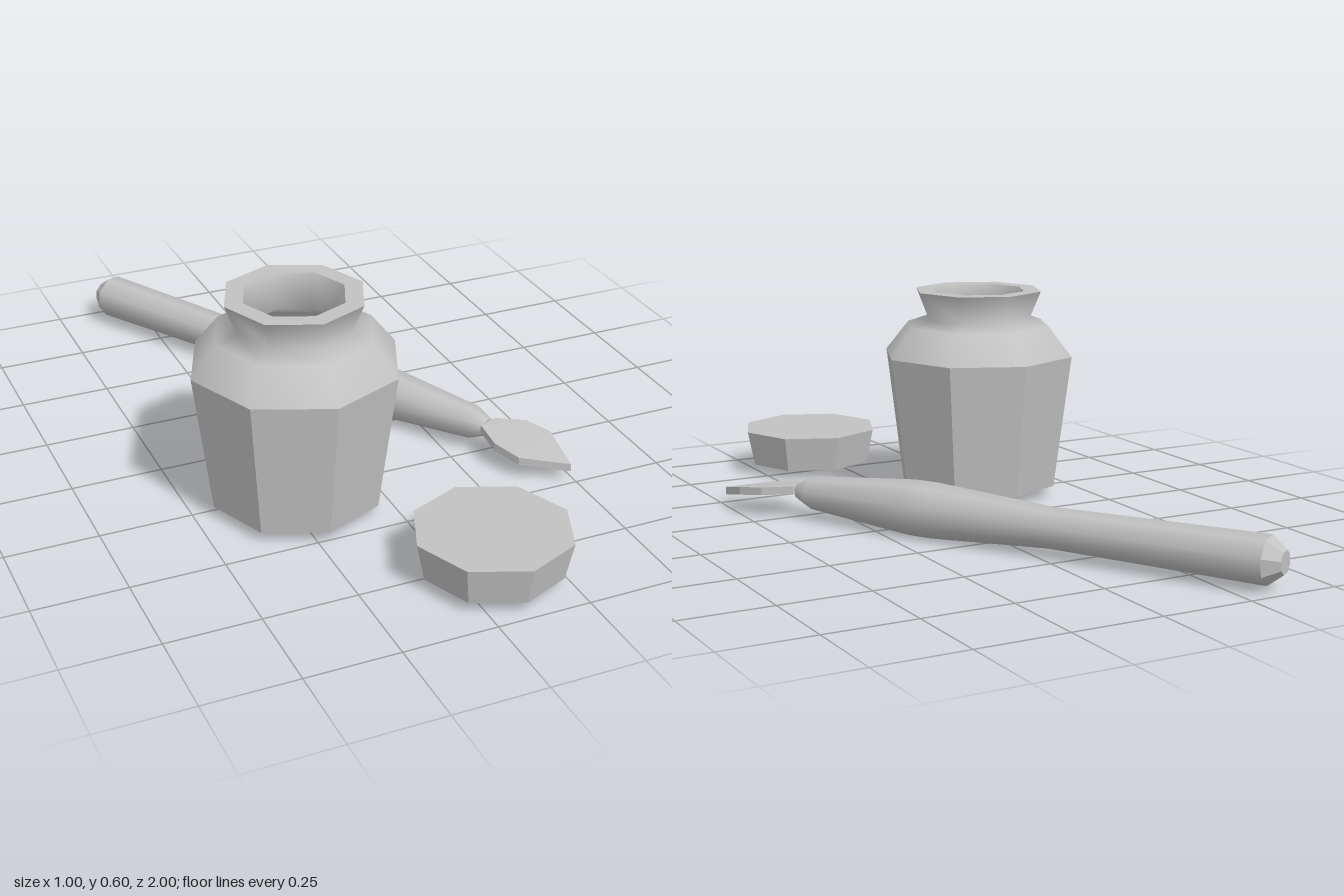
import * as THREE from 'three';

const grey = new THREE.MeshStandardMaterial({ color: 0xc2c2c2 });
grey.name = 'plain grey';

// Eight-sided turned part from [radius, height] pairs, faceted or smooth
function turned(name, profile, faceted) {
  const points = profile.map(([r, y]) => new THREE.Vector2(r, y));
  let geometry = new THREE.LatheGeometry(points, 8);
  if (faceted) {
    geometry = geometry.toNonIndexed();
    geometry.computeVertexNormals();
  }
  const mesh = new THREE.Mesh(geometry, grey);
  mesh.name = name;
  return mesh;
}

function createJar() {
  const jar = new THREE.Group();
  jar.name = 'jar';
  jar.add(
    turned('jarBody', [[0, 0.033], [0.23, 0.033], [0.28, 0.415]], true),
    turned('jarShoulder', [[0.28, 0.415], [0.212, 0.5], [0.154, 0.52], [0.187, 0.6]], false),
    turned('jarRim', [[0.187, 0.6], [0.137, 0.6]], true),
    turned('jarInside', [[0.137, 0.6], [0.102, 0.515], [0.18, 0.465], [0.23, 0.405], [0.19, 0.083]], false),
    turned('jarFloor', [[0.19, 0.083], [0, 0.083]], true)
  );
  jar.position.set(-0.22, 0, 0.28);
  return jar;
}

function createLid() {
  const lid = turned('lid', [[0, 0.033], [0.185, 0.033], [0.206, 0.135], [0, 0.135]], true);
  lid.position.set(0.09, 0, 0.792);
  return lid;
}

// Long handle lying diagonally on the ground
function createHandle() {
  const handle = new THREE.Group();
  handle.name = 'handle';
  handle.add(
    turned('handleEnd', [[0, 0], [0.031, 0], [0.063, 0.04]], true),
    turned('handleGrip', [[0.063, 0.04], [0.054, 0.638], [0.075, 0.99], [0.075, 1.06],
      [0.046, 1.386], [0.025, 1.432]], false),
    turned('handleTip', [[0.025, 1.432], [0, 1.432]], true)
  );
  const start = new THREE.Vector3(-0.36, 0.079, -0.984);
  const end = new THREE.Vector3(0.36, 0.075, 0.254);
  handle.position.copy(start);
  handle.quaternion.setFromUnitVectors(new THREE.Vector3(0, 1, 0), end.sub(start).normalize());
  return handle;
}

// Pointed blade, bent downwards towards its tip
function createBlade() {
  const outline = [[0.386, 0.243], [0.462, 0.284], [0.5, 0.35], [0.49, 0.485],
    [0.365, 0.423], [0.33, 0.35], [0.333, 0.262]];
  const shape = new THREE.Shape(outline.map(([x, z]) => new THREE.Vector2(x, -z)));
  const geometry = new THREE.ExtrudeGeometry(shape, { depth: 0.022, bevelEnabled: false });
  geometry.rotateX(-Math.PI / 2);
  const p = geometry.attributes.position;
  for (let i = 0; i < p.count; i++) {
    const t = (p.getZ(i) - 0.243) / 0.242;
    p.setY(i, p.getY(i) + 0.07 - 0.014 * t - 0.026 * t * t);
  }
  geometry.computeVertexNormals();
  const blade = new THREE.Mesh(geometry, grey);
  blade.name = 'blade';
  return blade;
}

export function createModel() {
  const model = new THREE.Group();
  model.name = 'jarLidAndTool';
  model.add(createJar(), createLid(), createHandle(), createBlade());
  return model;
}
